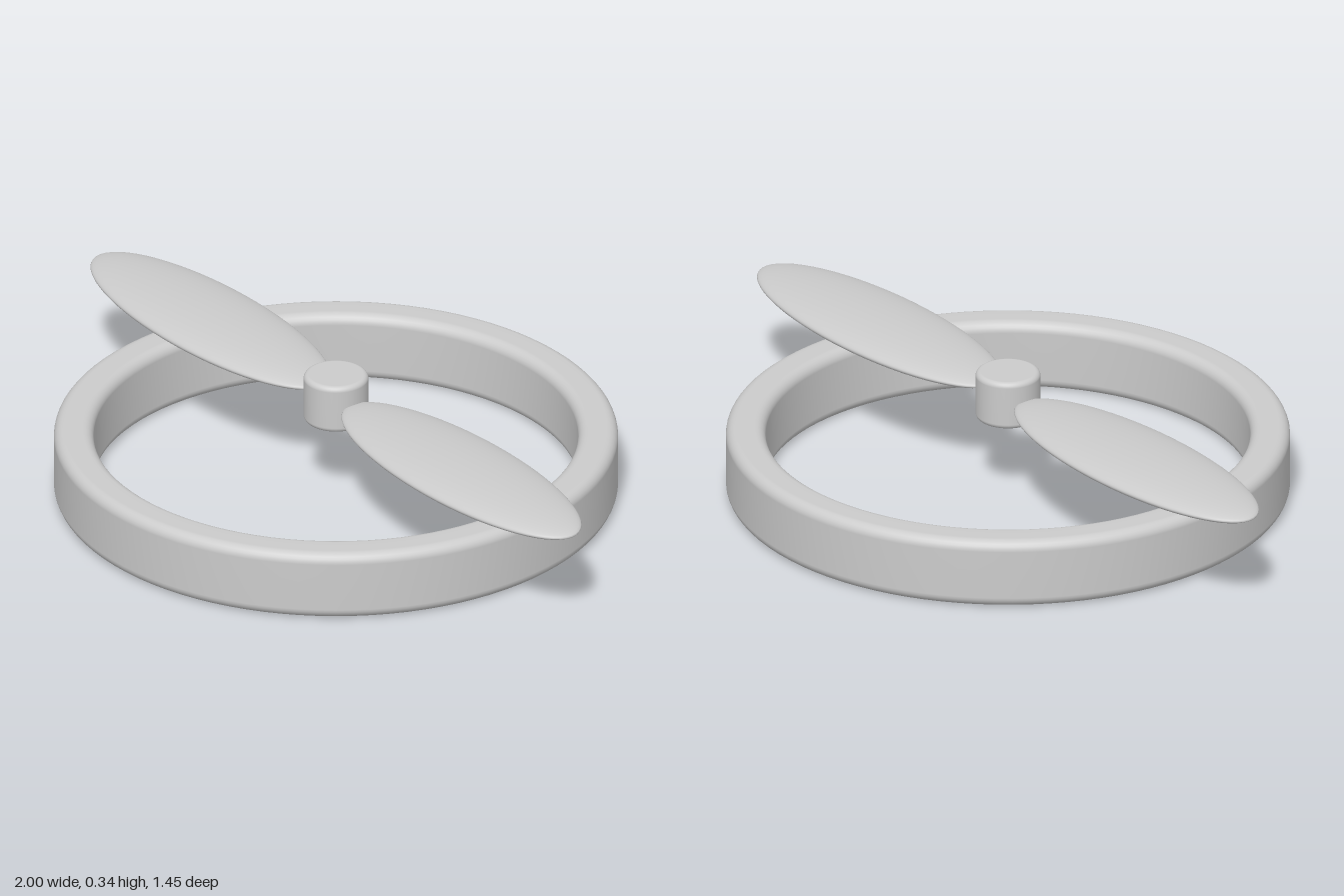
import * as THREE from 'three';

const material = new THREE.MeshStandardMaterial({ color: 0xcccccc });

// Rounded rectangle cross-section from (r0, y0) to (r1, y1), corner radius c
function roundedSection(r0, r1, y0, y1, c, steps = 6) {
  const corners = [
    [r1 - c, y0 + c, -Math.PI / 2],
    [r1 - c, y1 - c, 0],
    [r0 + c, y1 - c, Math.PI / 2],
    [r0 + c, y0 + c, Math.PI],
  ];
  const points = [];
  for (const [x, y, start] of corners) {
    for (let i = 0; i <= steps; i++) {
      const a = start + (i / steps) * (Math.PI / 2);
      points.push(new THREE.Vector2(x + c * Math.cos(a), y + c * Math.sin(a)));
    }
  }
  return points;
}

function addMesh(group, name, geometry) {
  const mesh = new THREE.Mesh(geometry, material);
  mesh.name = name;
  group.add(mesh);
  return mesh;
}

export function createModel() {
  const group = new THREE.Group();
  group.name = 'rotorWithRing';

  // Guard ring: closed rounded section turned about the axis
  const ring = roundedSection(0.624, 0.727, 0, 0.186, 0.028);
  ring.push(ring[0].clone());
  addMesh(group, 'guardRing', new THREE.LatheGeometry(ring, 96));

  // Hub: solid cylinder with softened rims (outer half of the section only)
  const rim = roundedSection(0, 0.084, 0.209, 0.34, 0.014).slice(0, 14);
  const hub = [new THREE.Vector2(0, 0.209), ...rim, new THREE.Vector2(0, 0.34)];
  addMesh(group, 'hub', new THREE.LatheGeometry(hub, 48));

  // Two flattened ellipsoid blades
  for (const [name, side] of [['leftBlade', 1], ['rightBlade', -1]]) {
    const blade = new THREE.SphereGeometry(1, 64, 32);
    blade.scale(0.468, 0.033, 0.154);
    addMesh(group, name, blade).position.set(side * 0.532, 0.275, 0);
  }

  return group;
}
